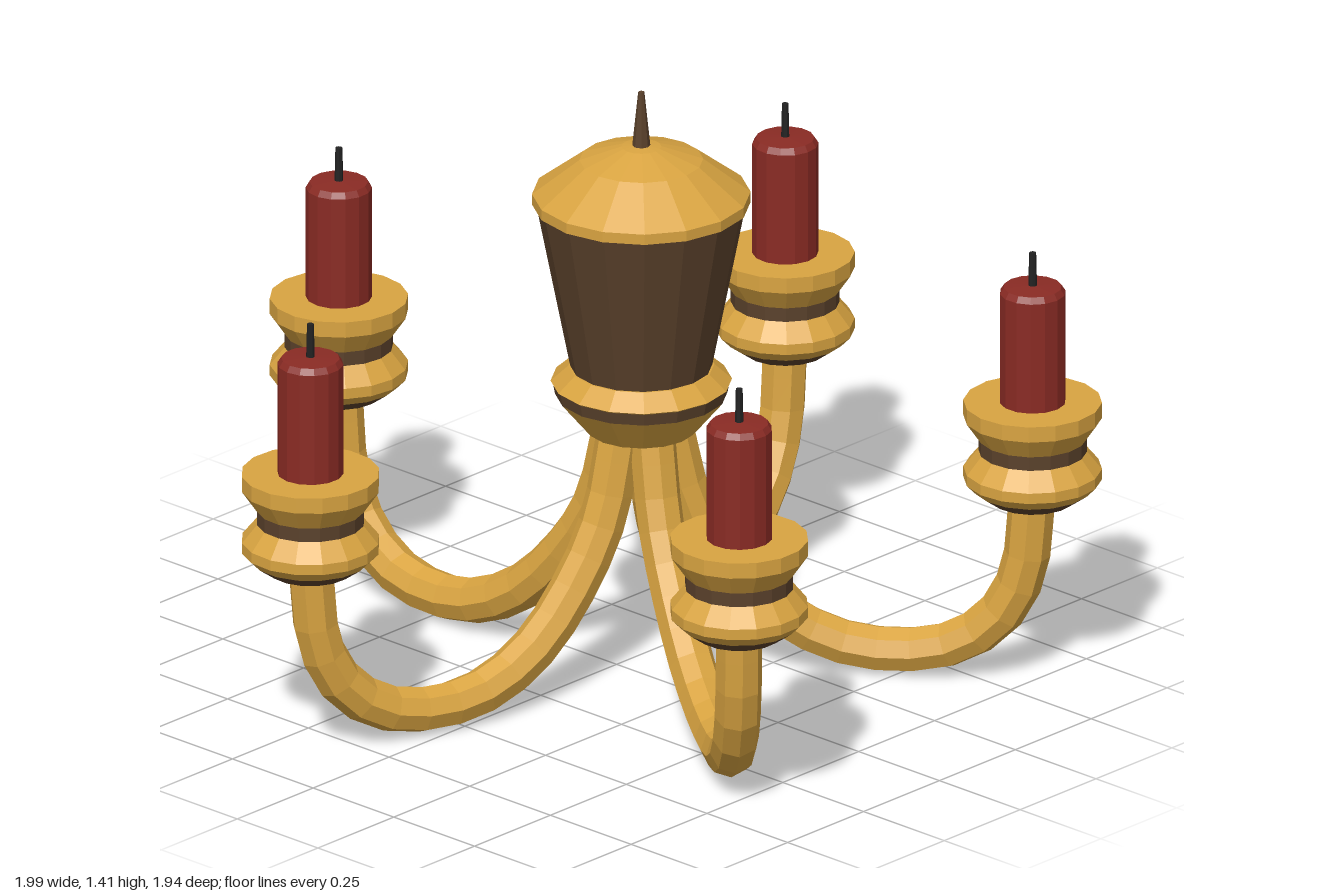
import * as THREE from 'three';

const mat = (color) => new THREE.MeshStandardMaterial({ color, flatShading: true });

export function createModel() {
  const gold = mat(0xd9a441), wood = mat(0x5a412b), red = mat(0x8a2b24), black = mat(0x222222);
  const model = new THREE.Group();
  model.name = 'chandelier';
  model.position.set(0.01, 0, 0.067);

  // Turned part from [radius, height] pairs, listed bottom to top
  const turned = (name, material, sides, profile) => {
    const points = profile.map(([r, y]) => new THREE.Vector2(r, y));
    const mesh = new THREE.Mesh(new THREE.LatheGeometry(points, sides), material);
    mesh.name = name;
    return mesh;
  };

  // Central hub
  const hub = new THREE.Group();
  hub.name = 'hub';
  hub.add(
    turned('hubBase', gold, 16, [[0, 0.605], [0.125, 0.605], [0.195, 0.69]]),
    turned('hubBand', wood, 16, [[0.195, 0.69], [0.2, 0.718]]),
    turned('hubCollar', gold, 16, [[0.2, 0.718], [0.205, 0.722], [0.165, 0.758], [0.1, 0.758]]),
    turned('hubBody', wood, 16, [[0.16, 0.755], [0.238, 1.155]]),
    turned('hubLid', gold, 16, [[0.2, 1.153], [0.247, 1.153], [0.247, 1.178], [0.14, 1.26], [0.045, 1.292], [0, 1.297]]),
    turned('finial', wood, 8, [[0.022, 1.28], [0.007, 1.425], [0, 1.425]])
  );
  model.add(hub);

  // Arm path: [distance from hub, height], bowed slightly sideways
  const path = [[0.06, 0.63], [0.11, 0.42], [0.19, 0.28], [0.31, 0.15], [0.44, 0.08],
    [0.57, 0.062], [0.7, 0.085], [0.8, 0.155], [0.862, 0.27], [0.885, 0.48]];
  const curve = new THREE.CatmullRomCurve3(path.map(([r, y]) =>
    new THREE.Vector3(r, y, -0.042 * Math.sin(Math.PI * Math.min(1, r / 0.885)))));
  const armGeometry = new THREE.TubeGeometry(curve, 18, 0.053, 8);

  for (let i = 0; i < 5; i++) {
    const branch = new THREE.Group();
    branch.name = 'branch' + (i + 1);
    branch.rotation.y = THREE.MathUtils.degToRad(21.7 - 72 * i);

    const arm = new THREE.Mesh(armGeometry, gold);
    arm.name = 'arm';

    // Cup and candle at the end of the arm
    const holder = new THREE.Group();
    holder.name = 'candleHolder';
    holder.position.x = 0.885;
    holder.add(
      turned('cupBottom', wood, 16, [[0, 0.453], [0.095, 0.453], [0.135, 0.482]]),
      turned('cupLower', gold, 16, [[0.135, 0.482], [0.157, 0.505], [0.157, 0.53], [0.123, 0.572]]),
      turned('cupGroove', wood, 16, [[0.123, 0.572], [0.123, 0.605]]),
      turned('cupUpper', gold, 16, [[0.123, 0.605], [0.157, 0.655], [0.157, 0.692], [0, 0.692]]),
      turned('candle', red, 14, [[0.075, 0.69], [0.075, 0.958], [0.066, 0.972], [0, 0.976]]),
      turned('wick', black, 8, [[0.01, 0.97], [0.008, 1.055], [0, 1.055]])
    );
    branch.add(arm, holder);
    model.add(branch);
  }

  const root = new THREE.Group();
  root.add(model);
  return root;
}
